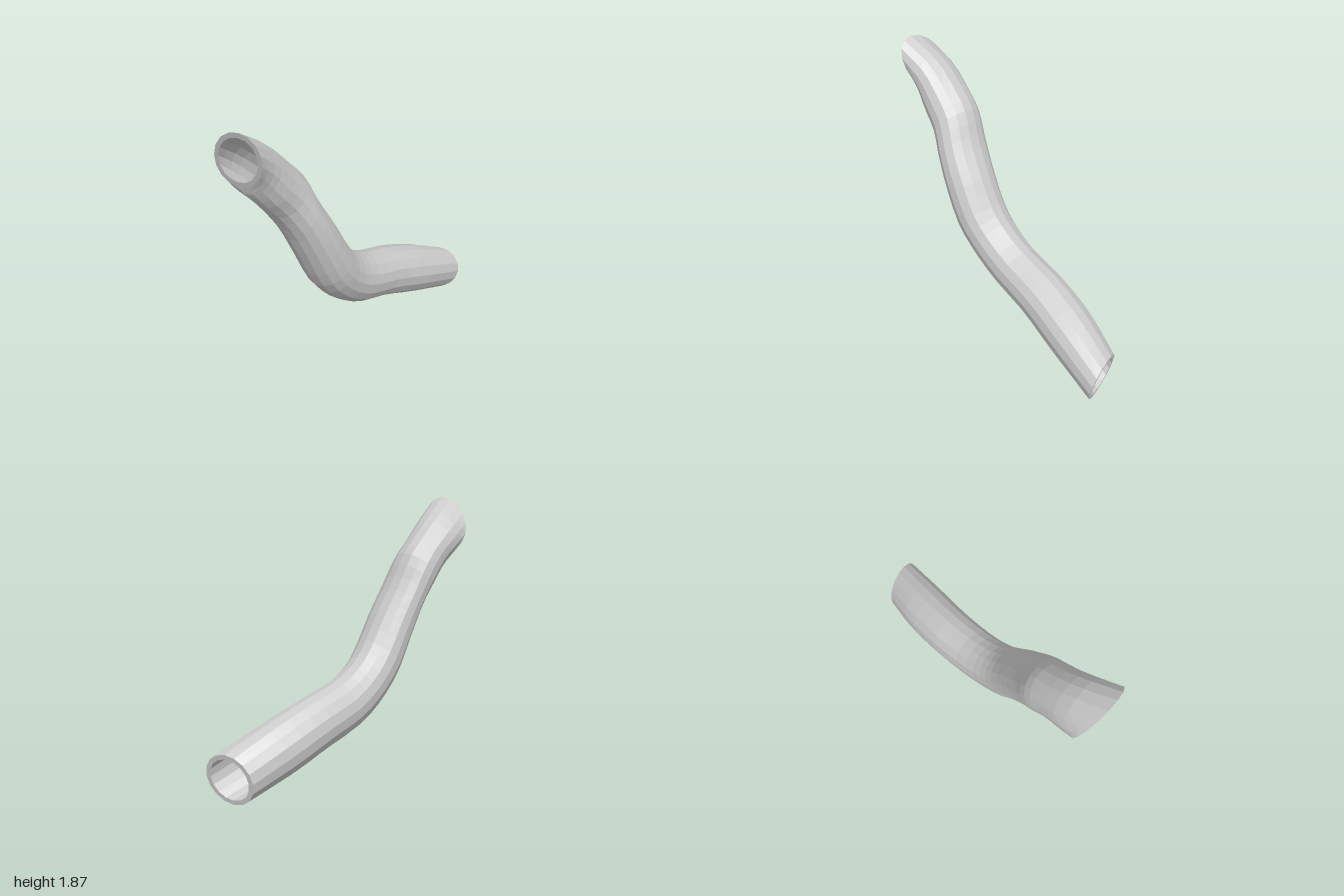
import * as THREE from 'three';

const SIDES = 16;
const STEPS = 26;
const BORE = 0.82;

// Each section: upper point (x, y), lower point (x, y), back z, front z,
// then optional sideways slant in x and z lean of the upper point
const SECTIONS = [
  [0.96, 0.33, 0.90, 0.005, -0.165, 0.16, 0.06, 0],
  [0.66, 0.47, 0.53, 0.13, -0.205, 0.155, 0.02, 0],
  [0.36, 0.58, 0.26, 0.235, -0.205, 0.145, 0, 0],
  [0.10, 0.66, -0.03, 0.33, -0.18, 0.16, 0, 0],
  [-0.07, 0.76, -0.24, 0.46, -0.16, 0.18, 0, 0],
  [-0.18, 0.88, -0.42, 0.65, -0.15, 0.205, 0, 0],
  [-0.30, 1.08, -0.54, 0.89, -0.15, 0.21, 0, 0],
  [-0.42, 1.28, -0.64, 1.11, -0.165, 0.195, 0, 0],
  [-0.51, 1.47, -0.73, 1.25, -0.18, 0.165, 0, 0],
  [-0.62, 1.59, -0.82, 1.36, -0.175, 0.16, 0, 0],
  [-0.79, 1.745, -0.885, 1.44, -0.175, 0.16, 0.02, 0.02],
  [-0.99, 1.87, -0.91, 1.49, -0.155, 0.175, 0.03, 0.07],
];

// Smooth curves for the centre, upward half-axis and sideways half-axis
function sectionCurves() {
  const centre = [], up = [], side = [];
  for (const [tx, ty, bx, by, back, front, slant, lean] of SECTIONS) {
    centre.push(new THREE.Vector3((tx + bx) / 2, (ty + by) / 2, (back + front) / 2));
    up.push(new THREE.Vector3((tx - bx) / 2, (ty - by) / 2, lean));
    side.push(new THREE.Vector3(slant, 0, (front - back) / 2));
  }
  return [centre, up, side].map((p) => new THREE.CatmullRomCurve3(p, false, 'catmullrom', 0.5));
}

// Skin between consecutive rings of points
function loft(rings) {
  const positions = rings.flat().flatMap((p) => [p.x, p.y, p.z]);
  const index = [];
  for (let i = 0; i < rings.length - 1; i++) {
    for (let j = 0; j < SIDES; j++) {
      const k = (j + 1) % SIDES;
      const a = i * SIDES + j, b = i * SIDES + k;
      const c = a + SIDES, d = b + SIDES;
      index.push(a, c, b, b, c, d);
    }
  }
  const geometry = new THREE.BufferGeometry();
  geometry.setAttribute('position', new THREE.Float32BufferAttribute(positions, 3));
  geometry.setIndex(index);
  geometry.computeVertexNormals();
  return geometry;
}

export function createModel() {
  const group = new THREE.Group();
  group.name = 'bentHollowTube';
  const material = new THREE.MeshStandardMaterial({ color: 0xcccccc, flatShading: true });
  const [centre, up, side] = sectionCurves();

  const ring = (t, scale) => {
    const c = centre.getPoint(t), u = up.getPoint(t), s = side.getPoint(t);
    return Array.from({ length: SIDES }, (_, j) => {
      const a = (j / SIDES) * Math.PI * 2;
      return c.clone()
        .addScaledVector(u, Math.cos(a) * scale)
        .addScaledVector(s, Math.sin(a) * scale);
    });
  };
  const outer = [], inner = [];
  for (let i = 0; i <= STEPS; i++) {
    outer.push(ring(i / STEPS, 1));
    inner.push(ring(i / STEPS, BORE));
  }

  const add = (name, rings) => {
    const mesh = new THREE.Mesh(loft(rings), material);
    mesh.name = name;
    group.add(mesh);
  };
  // Outer wall, bore and the rims joining them at both open ends
  add('outerWall', outer);
  add('innerBore', [...inner].reverse());
  add('lowerRim', [inner[0], outer[0]]);
  add('upperRim', [outer[STEPS], inner[STEPS]]);
  return group;
}
